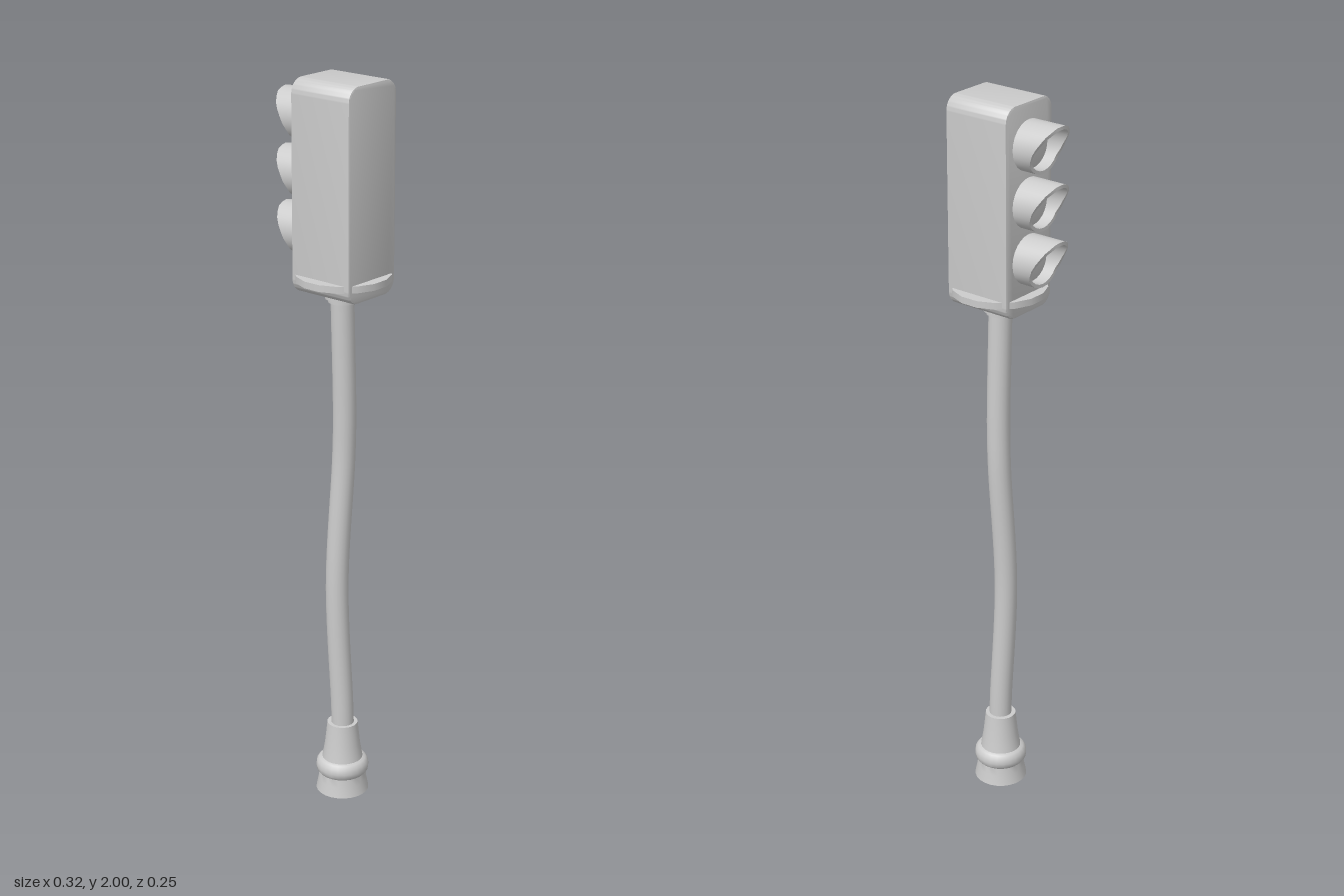
import * as THREE from 'three';
import { toCreasedNormals } from 'three/addons/utils/BufferGeometryUtils.js';

const AXIS = 0.035; // x of the post

export function createModel() {
  const root = new THREE.Group();
  const mat = new THREE.MeshStandardMaterial({ color: 0xcccccc });
  const open = new THREE.MeshStandardMaterial({ color: 0xcccccc, side: THREE.DoubleSide });
  const add = (name, geo, material = mat, x = 0, y = 0, z = 0) => {
    const m = new THREE.Mesh(geo, material);
    m.name = name;
    m.position.set(x, y, z);
    root.add(m);
    return m;
  };
  const lathe = (pts, segs) =>
    new THREE.LatheGeometry(pts.map(p => new THREE.Vector2(...p)), segs);

  // Flared foot, hollow underneath
  add('foot', toCreasedNormals(lathe([
    [0.073, 0], [0.067, 0.03], [0.064, 0.052], [0.071, 0.06], [0.073, 0.072],
    [0.071, 0.086], [0.064, 0.095], [0.056, 0.098], [0.049, 0.14], [0.042, 0.205], [0.028, 0.205],
  ], 24), 0.6), open, AXIS);

  // Slightly crooked post
  const path = new THREE.CatmullRomCurve3([
    [0.037, 0.15, 0], [0.035, 0.25, 0.001], [0.021, 0.62, 0.007], [0.028, 0.98, -0.011],
    [0.031, 1.1, -0.011], [0.032, 1.44, 0],
  ].map(p => new THREE.Vector3(...p)));
  add('post', new THREE.TubeGeometry(path, 40, 0.031, 20), open);

  // Collar below the housing
  add('collar', new THREE.CylinderGeometry(0.045, 0.045, 0.016, 24), mat, 0.032, 1.439);
  add('collarStep', new THREE.CylinderGeometry(0.037, 0.037, 0.012, 24), mat, 0.032, 1.427);

  // Housing: rounded rectangle run along x with a fine bevel
  const w = 0.087, h = 0.272, r = 0.034, b = 0.005;
  const s = new THREE.Shape();
  s.absarc(w - r, h - r, r, 0, Math.PI / 2);
  s.absarc(-w + r, h - r, r, Math.PI / 2, Math.PI);
  s.absarc(-w + r, -h + r, r, Math.PI, Math.PI * 1.5);
  s.absarc(w - r, -h + r, r, Math.PI * 1.5, Math.PI * 2);
  s.closePath();
  const box = new THREE.ExtrudeGeometry(s, {
    depth: 0.19 - 2 * b, bevelThickness: b, bevelSize: b, bevelSegments: 2, curveSegments: 8,
  });
  box.translate(0, 0, -0.095 + b).rotateY(Math.PI / 2);
  add('housing', toCreasedNormals(box, 0.5), mat, AXIS, 1.723);

  // Round plate showing as a ledge on both faces
  const plate = new THREE.CylinderGeometry(0.125, 0.125, 0.018, 16);
  plate.rotateY(Math.PI / 16);
  add('ledge', plate, mat, AXIS, 1.489);

  // Hooded lamps: tubes whose front rim reaches further at the top
  const reach = [0.1, 0.095, 0.08, 0.06, 0.046, 0.045, 0.045]; // every 30 degrees from the top
  const R = 0.066, T = 0.009;
  const hood = lathe([[R, 0], [R, 1], [R - T, 1], [R - T, 0]], 24);
  const p = hood.attributes.position;
  for (let i = 0; i < p.count; i++) {
    if (p.getY(i) < 0.5) continue;
    const a = Math.abs(Math.atan2(p.getZ(i), p.getX(i))) / (Math.PI / 6);
    const k = Math.min(5, Math.floor(a));
    p.setY(i, THREE.MathUtils.lerp(reach[k], reach[k + 1], a - k));
  }
  hood.rotateZ(Math.PI / 2);
  const hoodGeo = toCreasedNormals(hood, 0.7);
  const lens = lathe([[R - T, 0.012], [0.045, 0.018], [0.025, 0.023], [0, 0.025]], 24);
  lens.rotateZ(Math.PI / 2);
  ['top', 'middle', 'bottom'].forEach((n, i) => {
    const y = 1.89 - i * 0.149;
    add(n + 'Hood', hoodGeo, open, -0.06, y);
    add(n + 'Lens', lens, open, -0.06, y);
  });
  return root;
}
